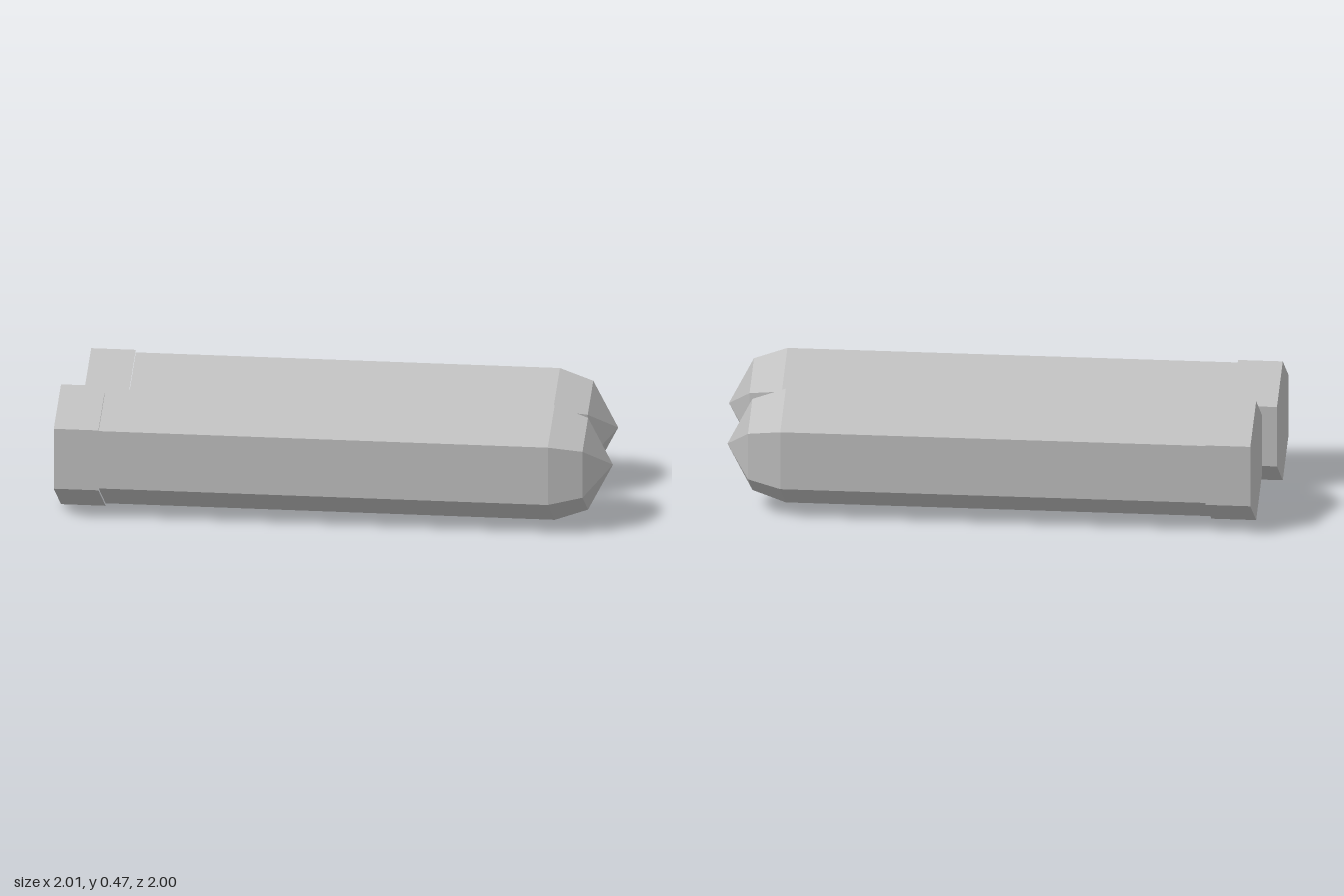
import * as THREE from 'three';

const COLLAR_RADIUS = 0.235;
const BODY_RADIUS = 0.225;
const COLLAR_LENGTH = 0.17;

export function createModel() {
  const model = new THREE.Group();
  model.name = 'hexagonalRods';

  const grey = new THREE.MeshStandardMaterial({ color: 0xbbbbbb, flatShading: true });
  grey.name = 'grey';

  // Six-sided part turned from a [radius, distance] profile, lying along +z with a ridge on top
  function hexPart(name, profile) {
    const points = profile.map(([r, d]) => new THREE.Vector2(r, d));
    const geometry = new THREE.LatheGeometry(points, 6).rotateX(Math.PI / 2);
    const mesh = new THREE.Mesh(geometry, grey);
    mesh.name = name;
    return mesh;
  }

  // One rod: end collar, long shaft, faceted pointed tip
  function rod(name, x, z, shaftEnd) {
    const group = new THREE.Group();
    group.name = name;
    group.add(
      hexPart('collar', [[0, 0], [COLLAR_RADIUS, 0], [COLLAR_RADIUS, COLLAR_LENGTH]]),
      hexPart('shaft', [[BODY_RADIUS, COLLAR_LENGTH], [BODY_RADIUS, shaftEnd]]),
      hexPart('tip', [[BODY_RADIUS, shaftEnd], [0.18, shaftEnd + 0.127], [0, shaftEnd + 0.222]])
    );
    group.position.set(x, COLLAR_RADIUS, z);
    group.rotation.y = Math.PI * 0.75; // points toward the back left
    return group;
  }

  model.add(
    rod('rearRod', -0.856, 0.46, 1.786),
    rod('frontRod', -0.525, 0.855, 1.881)
  );
  return model;
}
